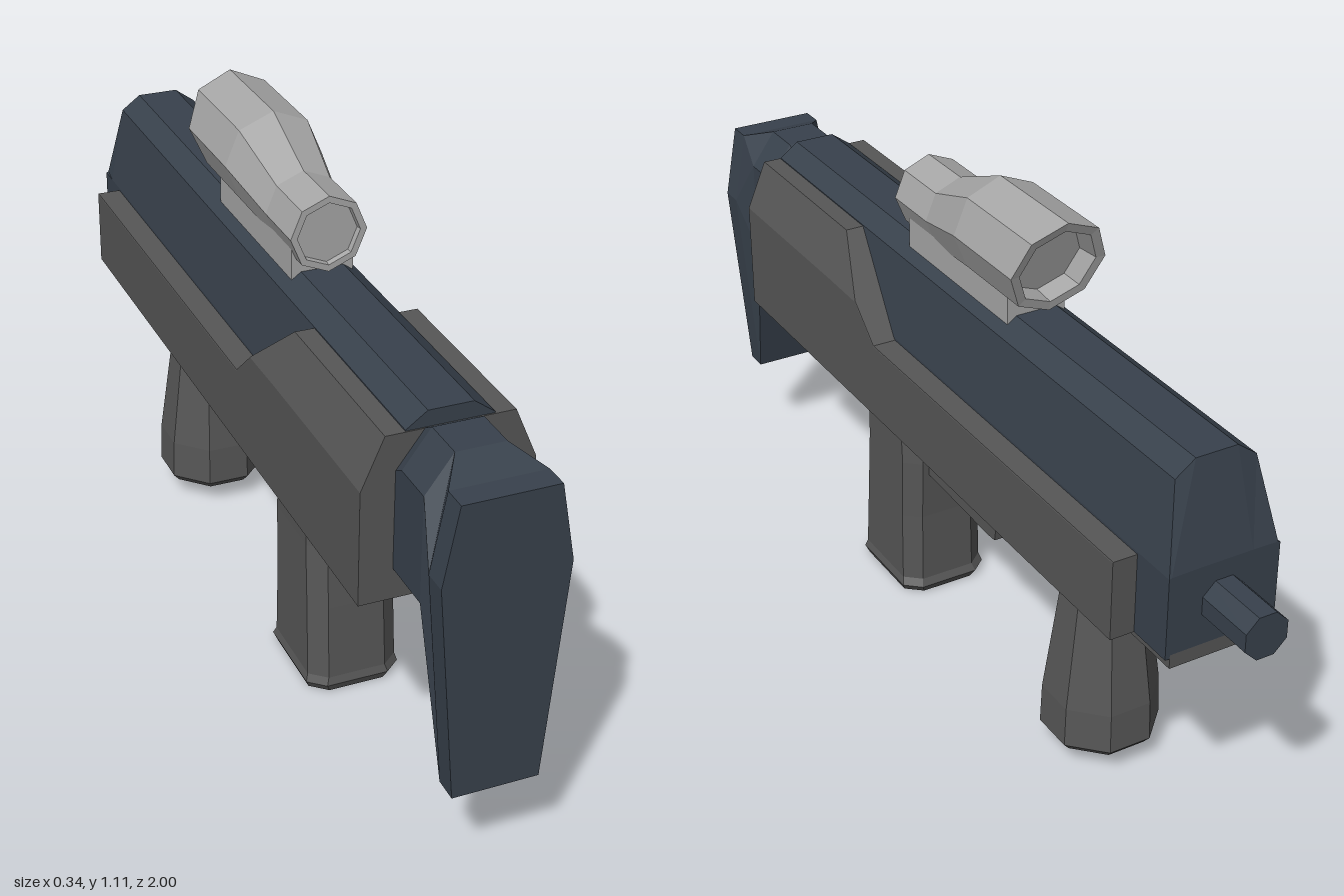
import * as THREE from 'three';

const material = (color) => new THREE.MeshStandardMaterial({ color, flatShading: true, side: THREE.DoubleSide });

// Skin a row of equal-length point loops and close both ends
function loft(sections) {
  const n = sections[0].length, index = [];
  sections.forEach((s, i) => {
    if (i === sections.length - 1) return;
    for (let j = 0; j < n; j++) {
      const k = (j + 1) % n, a = i * n + j, b = i * n + k;
      index.push(a, b, b + n, a, b + n, a + n);
    }
  });
  const end = (sections.length - 1) * n;
  for (let j = 1; j < n - 1; j++) index.push(0, j + 1, j, end, end + j, end + j + 1);
  const geo = new THREE.BufferGeometry();
  geo.setAttribute('position', new THREE.Float32BufferAttribute(sections.flat(2), 3));
  geo.setIndex(index);
  const flat = geo.toNonIndexed();
  flat.computeVertexNormals();
  return flat;
}

// Symmetric loop at depth z from its right half, listed bottom to top
const mirrored = (z, half) => [
  ...half.map(([x, y]) => [x, y, z]),
  ...half.slice().reverse().map(([x, y]) => [-x, y, z]),
];

// Side outline in (z, y), extruded across x
function sidePlate(outline, width) {
  const shape = new THREE.Shape(outline.map(([z, y]) => new THREE.Vector2(z, y)));
  const geo = new THREE.ExtrudeGeometry(shape, { depth: width, bevelEnabled: false });
  return geo.translate(0, 0, -width / 2).rotateY(-Math.PI / 2);
}

// Box section with cut corners at height y
function chamferedLoop(y, zFront, zBack, w) {
  const c = 0.035, d = 0.03;
  return [
    [w - c, y, zFront], [w, y, zFront - d], [w, y, zBack + d], [w - c, y, zBack],
    [c - w, y, zBack], [-w, y, zBack + d], [-w, y, zFront - d], [c - w, y, zFront],
  ];
}

// Octagon with a corner at the top; slant leans the ring along z
function octagon(z, y, r, slant = 0) {
  return Array.from({ length: 8 }, (_, i) => {
    const a = (i * Math.PI) / 4;
    return [r * Math.cos(a), y + r * Math.sin(a), z + slant * (1 - Math.sin(a)) * r];
  });
}

export function createModel() {
  const model = new THREE.Group();
  const blue = material(0x38414c), grey = material(0x565656), light = material(0xa6a6a6);
  const add = (name, geo, mat) => {
    const mesh = new THREE.Mesh(geo, mat);
    mesh.name = name;
    model.add(mesh);
    return mesh;
  };

  // Main body with sloped nose
  const bodyHalf = [[0.12, 0.495], [0.12, 0.67], [0.087, 0.842], [0.045, 0.873]];
  add('body', loft([
    mirrored(-0.87, [[0.12, 0.495], [0.12, 0.67], [0.115, 0.672], [0.06, 0.673]]),
    mirrored(-0.825, bodyHalf),
    mirrored(0.762, bodyHalf),
  ]), blue);

  // Side housing: low rail at the far end, full height near the stock
  const housing = (z, shoulder, w, top) => mirrored(z, [[0.172, 0.495], [0.172, shoulder], [w, top]]);
  add('housing', loft([
    housing(-0.77, 0.663, 0.171, 0.665),
    housing(0.15, 0.663, 0.171, 0.665),
    housing(0.23, 0.733, 0.171, 0.735),
    housing(0.35, 0.735, 0.127, 0.84),
    housing(0.765, 0.735, 0.127, 0.84),
  ]), grey);

  // Underside rail
  add('lowerRail', new THREE.BoxGeometry(0.22, 0.03, 1.25).translate(0, 0.488, -0.245), grey);

  // Stock: neck flaring into the tall butt plate
  const neckHalf = [[0.105, 0.56], [0.105, 0.78], [0.05, 0.856]];
  const buttHalf = [[0.087, 0.21], [0.125, 0.67], [0.095, 0.83]];
  add('stock', loft([
    mirrored(0.755, [[0.105, 0.56], [0.105, 0.76], [0.05, 0.835]]),
    mirrored(0.79, neckHalf),
    mirrored(0.88, neckHalf),
    mirrored(0.95, buttHalf),
    mirrored(1, buttHalf),
  ]), blue);

  // Barrel
  add('barrel', new THREE.CylinderGeometry(0.049, 0.049, 0.16, 8)
    .rotateY(Math.PI / 8).rotateX(Math.PI / 2).translate(0, 0.588, -0.92), blue);

  // Sight tube with recessed ends, on its mount
  add('sightTube', loft([
    octagon(-0.27, 1, 0.08, 0.3),
    octagon(-0.322, 1, 0.085, 0.3),
    octagon(-0.33, 1, 0.105, 0.3),
    octagon(-0.08, 1, 0.105),
    octagon(0.08, 0.96, 0.08),
    octagon(0.212, 0.96, 0.08),
    octagon(0.212, 0.96, 0.066),
    octagon(0.2, 0.96, 0.064),
  ]), light);
  add('sightMount', new THREE.BoxGeometry(0.13, 0.09, 0.4).translate(0, 0.895, -0.02), light);

  // Rear grip with collar and foot
  add('rearGrip', loft([
    chamferedLoop(0, 0.38, 0.15, 0.095),
    chamferedLoop(0.018, 0.388, 0.14, 0.103),
    chamferedLoop(0.035, 0.383, 0.148, 0.098),
    chamferedLoop(0.2, 0.372, 0.15, 0.096),
    chamferedLoop(0.34, 0.362, 0.145, 0.095),
    chamferedLoop(0.45, 0.362, 0.152, 0.095),
  ]), grey);
  add('gripCollar', loft([
    chamferedLoop(0.445, 0.37, 0.145, 0.1),
    chamferedLoop(0.46, 0.382, 0.135, 0.115),
    chamferedLoop(0.5, 0.382, 0.135, 0.115),
  ]), grey);

  // Eight-sided front grip
  const frontProfile = [
    [0, 0.045], [0.108, 0.045], [0.123, 0.062], [0.12, 0.15], [0.088, 0.385],
    [0.127, 0.43], [0.127, 0.472], [0.098, 0.495],
  ].map(([r, y]) => new THREE.Vector2(r, y));
  add('frontGrip', new THREE.LatheGeometry(frontProfile, 8)
    .rotateY(Math.PI / 8).translate(0, 0, -0.49), grey);

  // Trigger guard strap
  add('triggerGuard', sidePlate([
    [0.17, 0.31], [-0.11, 0.3], [-0.14, 0.302], [-0.168, 0.48], [-0.148, 0.48],
    [-0.148, 0.4], [-0.128, 0.33], [0.17, 0.332],
  ], 0.09), grey);

  // Curved trigger
  add('trigger', sidePlate([
    [0.05, 0.48], [0.078, 0.43], [0.07, 0.39], [0.045, 0.365], [0.01, 0.358],
    [0.035, 0.385], [0.05, 0.415], [0.045, 0.445], [0.02, 0.48],
  ].reverse(), 0.04), blue);

  return model;
}
